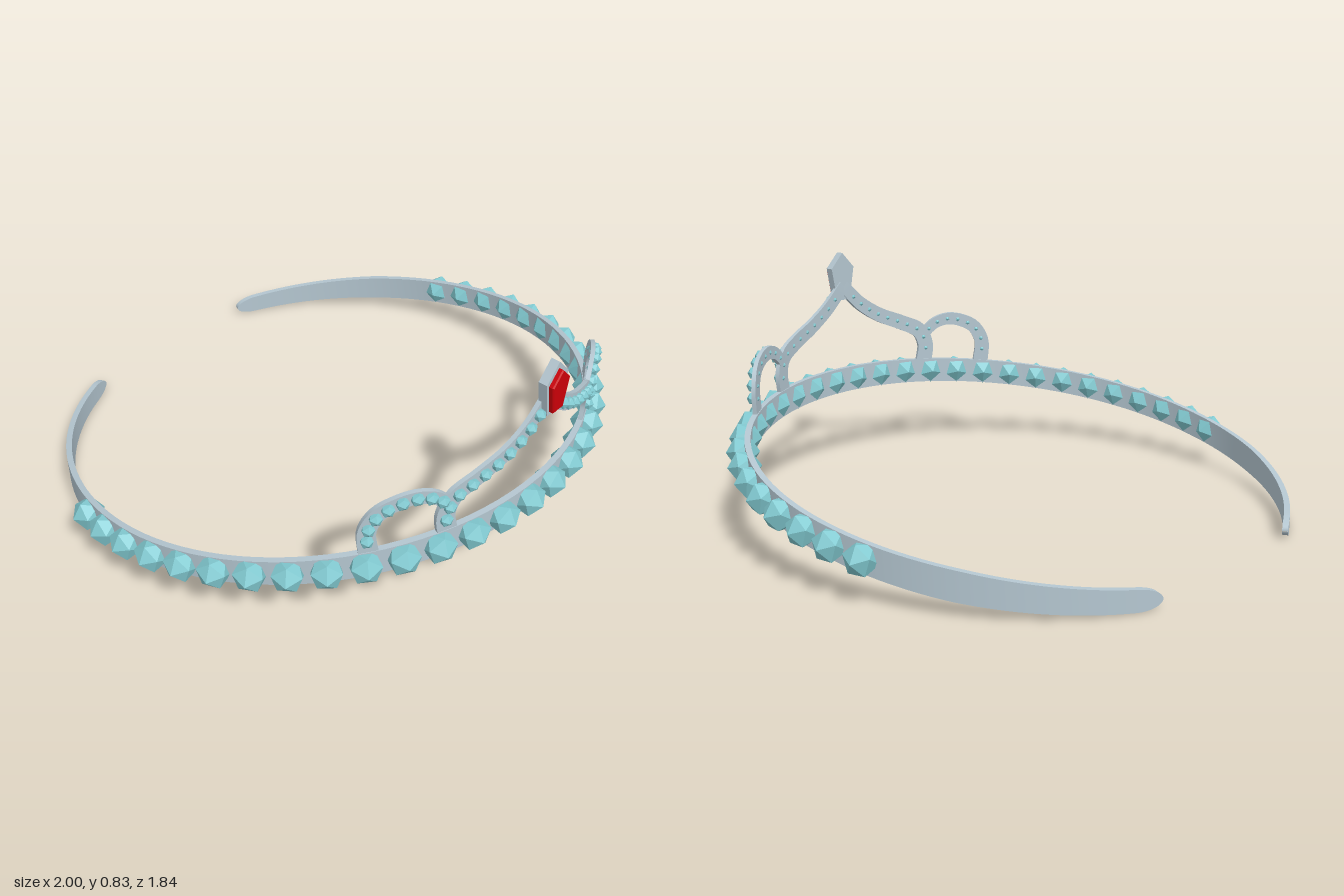
import * as THREE from 'three';

const silver = new THREE.MeshStandardMaterial({ color: 0xb4c6d0 });
silver.name = 'silver';
const teal = new THREE.MeshStandardMaterial({ color: 0x82cad1, flatShading: true });
teal.name = 'teal stone';
const red = new THREE.MeshStandardMaterial({ color: 0xcc0008, flatShading: true });
red.name = 'red stone';

// Plan of the tiara: two half ellipses sharing one width
const RX = 0.925, RZ_FRONT = 0.895, RZ_BACK = 0.94, CZ = -0.05;
const frontZ = (x) => CZ + RZ_FRONT * Math.sqrt(1 - (x / RX) ** 2);
function outward(p) {
  const rz = p.z > CZ ? RZ_FRONT : RZ_BACK;
  return new THREE.Vector3(p.x / RX ** 2, 0, (p.z - CZ) / rz ** 2).normalize();
}

// Flat strip with sharp edges, following a curve and facing outward
function ribbon(curve, segments, thickness, widthAt) {
  const rings = [];
  for (let i = 0; i <= segments; i++) {
    const t = 0.5 - 0.5 * Math.cos((Math.PI * i) / segments);
    const p = curve.getPointAt(t);
    const n = outward(p);
    const b = curve.getTangentAt(t).cross(n).normalize();
    const w = widthAt(t) / 2, h = thickness / 2;
    rings.push([[1, 1], [1, -1], [-1, -1], [-1, 1]].map(([u, v]) =>
      p.clone().addScaledVector(n, u * h).addScaledVector(b, v * w)));
  }
  const pos = [], index = [];
  for (let k = 0; k < 4; k++) {
    const base = pos.length / 3;
    for (const r of rings) pos.push(...r[k].toArray(), ...r[(k + 1) % 4].toArray());
    for (let i = 0; i < segments; i++) {
      const a = base + 2 * i;
      index.push(a, a + 2, a + 1, a + 1, a + 2, a + 3);
    }
  }
  const g = new THREE.BufferGeometry();
  g.setAttribute('position', new THREE.Float32BufferAttribute(pos, 3));
  g.setIndex(index);
  g.computeVertexNormals();
  return g;
}

// Faceted stone with one corner pointing outward
const stoneGeometry = new THREE.IcosahedronGeometry(1, 0);
stoneGeometry.rotateX(Math.atan(2 / (1 + Math.sqrt(5)))).rotateZ(Math.PI);

function addStone(parent, name, p, radius, offset) {
  const n = outward(p);
  const m = new THREE.Mesh(stoneGeometry, teal);
  m.name = name;
  m.position.copy(p).addScaledVector(n, offset);
  m.rotation.y = Math.atan2(n.x, n.z);
  m.scale.setScalar(radius);
  parent.add(m);
}

// Five-sided plate for the centre finial
function pentagon(halfTop, halfBottom, yTop, yShoulder, yBottom, z, depth, bevel) {
  const s = new THREE.Shape();
  s.moveTo(-halfBottom, yBottom);
  s.lineTo(halfBottom, yBottom);
  s.lineTo(halfTop, yShoulder);
  s.lineTo(0, yTop);
  s.lineTo(-halfTop, yShoulder);
  s.closePath();
  const g = new THREE.ExtrudeGeometry(s, {
    depth, bevelEnabled: bevel > 0, bevelSize: bevel, bevelOffset: -bevel,
    bevelThickness: bevel, bevelSegments: 1,
  });
  return g.translate(0, 0, z);
}

export function createModel() {
  const group = new THREE.Group();
  group.name = 'tiara';
  const add = (name, geometry, material, parent = group) => {
    const m = new THREE.Mesh(geometry, material);
    m.name = name;
    parent.add(m);
  };

  // Open, tilted headband with rounded ends
  const plan = [];
  const end = Math.acos(-0.922);
  for (let i = 0; i <= 80; i++) {
    const a = -end + (2 * end * i) / 80;
    const z = CZ + (Math.cos(a) > 0 ? RZ_FRONT : RZ_BACK) * Math.cos(a);
    plan.push(new THREE.Vector3(RX * Math.sin(a), 0.198 + 0.1726 * z, z));
  }
  const bandCurve = new THREE.CatmullRomCurve3(plan);
  bandCurve.arcLengthDivisions = 600;
  const length = bandCurve.getLength();
  add('headband', ribbon(bandCurve, 140, 0.02, (t) => {
    const d = Math.min(t, 1 - t) * length;
    const taper = 0.066 + 0.029 * Math.min(1, d / 0.6);
    return taper * Math.sqrt(Math.max(0.0004, 1 - Math.max(0, 1 - d / 0.08) ** 2));
  }), silver);

  // Large stones around the front of the band
  const bandStones = new THREE.Group();
  bandStones.name = 'bandStones';
  group.add(bandStones);
  for (const s of [-1, 1]) {
    for (let i = 0; i < 15; i++) {
      const p = bandCurve.getPointAt(0.5 + (s * (0.056 + i * 0.1145)) / length);
      addStone(bandStones, 'bandStone', p, 0.056, 0.017);
    }
  }

  // Mirrored arches, each with a row of small stones
  const arches = [
    {
      name: 'centreArch', beads: 10, from: 0.1, to: 0.88, w0: 0.066, w1: 0.05,
      path: [[0.362, 0.37], [0.37, 0.44], [0.345, 0.5], [0.27, 0.54], [0.17, 0.583], [0.08, 0.64], [0, 0.715]],
    },
    {
      name: 'sideLoop', beads: 8, from: 0.14, to: 0.93, w0: 0.062, w1: 0.042,
      path: [[0.575, 0.35], [0.58, 0.44], [0.555, 0.5], [0.51, 0.53], [0.46, 0.54], [0.41, 0.525], [0.365, 0.485]],
    },
  ];
  for (const s of [-1, 1]) {
    for (const a of arches) {
      const g = new THREE.Group();
      g.name = (s > 0 ? 'left ' : 'right ') + a.name;
      group.add(g);
      const curve = new THREE.CatmullRomCurve3(
        a.path.map(([x, y]) => new THREE.Vector3(s * x, y, frontZ(x))));
      add(a.name, ribbon(curve, 40, 0.015, (t) => a.w0 + (a.w1 - a.w0) * t), silver, g);
      for (let i = 0; i < a.beads; i++) {
        const t = a.from + ((a.to - a.from) * i) / (a.beads - 1);
        addStone(g, 'archStone', curve.getPointAt(t), 0.023, 0.01);
      }
    }
  }

  // Centre finial: silver setting and red stone
  add('finialSetting', pentagon(0.055, 0.032, 0.845, 0.787, 0.662, 0.841, 0.03, 0), silver);
  add('finialStone', pentagon(0.044, 0.025, 0.823, 0.777, 0.675, 0.866, 0.017, 0.004), red);
  return group;
}
